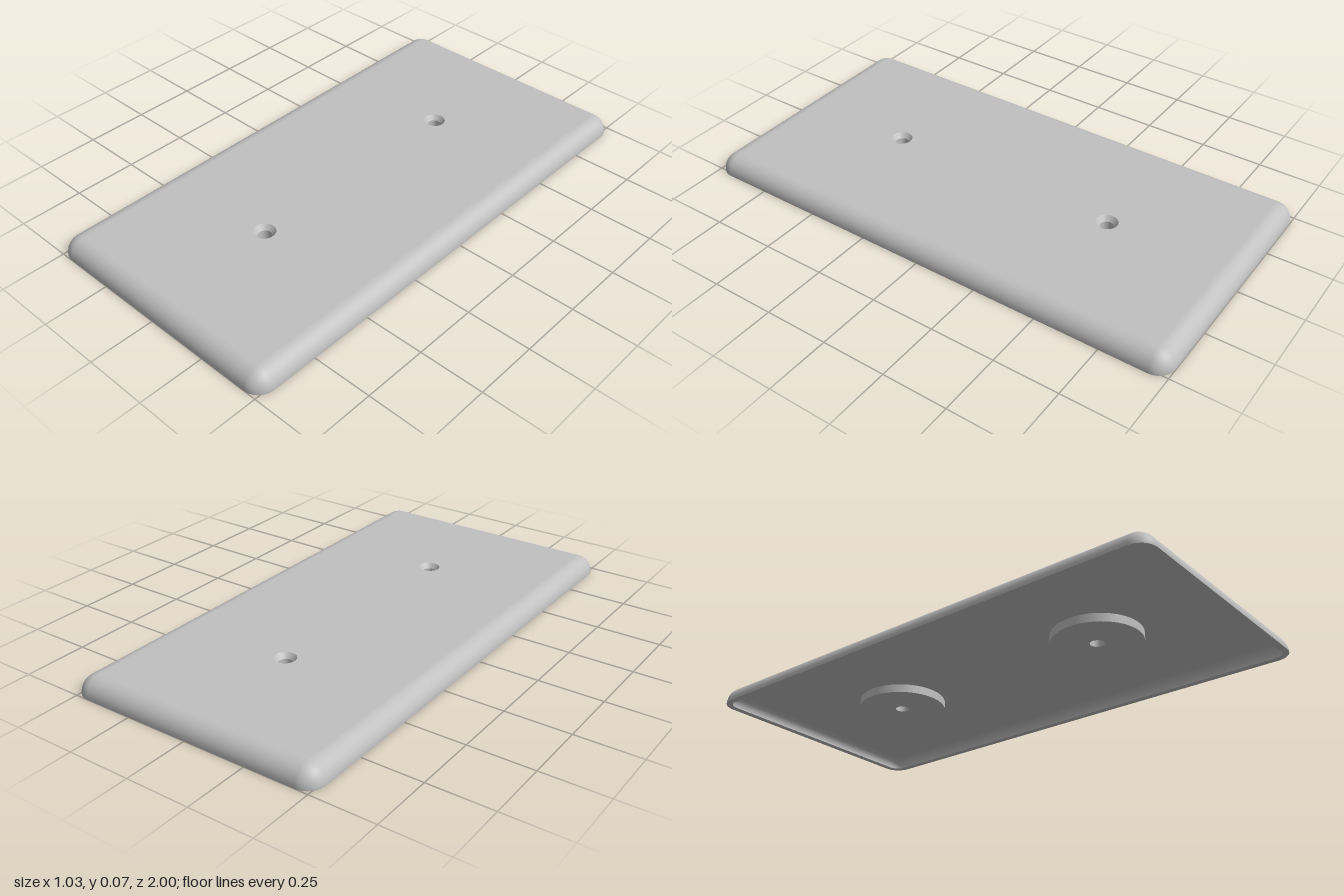
import * as THREE from 'three';

const CORE_X = 0.449, CORE_Z = 0.932;   // flat area inside the rounded edge
const R_OUT = 0.068, R_IN = 0.043, ARC_Y = 0.002;
const TOP = ARC_Y + R_OUT, CEILING = ARC_Y + R_IN;
const HOLE_Z = 0.478, HOLE_R = 0.027, SINK_R = 0.042, BOSS_R = 0.172, BOSS_Y = 0.012;

// Corner-by-corner directions around a rounded rectangle
function loopPoints(n = 10) {
  const pts = [];
  [[1, 1], [-1, 1], [-1, -1], [1, -1]].forEach(([sx, sz], q) => {
    for (let k = 0; k <= n; k++) {
      const a = (q + k / n) * Math.PI / 2;
      pts.push({ x: sx * CORE_X, z: sz * CORE_Z, c: Math.cos(a), s: Math.sin(a) });
    }
  });
  return pts;
}

// Quarter-round edge swept around the plate; inside = true faces the hollow
function edgeGeometry(radius, inside) {
  const loop = loopPoints(), n = loop.length, steps = 10;
  const pos = [], nor = [], idx = [], f = inside ? -1 : 1;
  for (let i = -1; i <= steps; i++) {
    const t = Math.max(i, 0) / steps * Math.PI / 2;
    const r = radius * Math.cos(t), y = i < 0 ? 0 : ARC_Y + radius * Math.sin(t);
    for (const p of loop) {
      pos.push(p.x + r * p.c, y, p.z + r * p.s);
      nor.push(f * p.c * Math.cos(t), f * Math.sin(t), f * p.s * Math.cos(t));
    }
  }
  for (let i = 0; i <= steps; i++) for (let j = 0; j < n; j++) {
    const a = i * n + j, b = i * n + (j + 1) % n, c = a + n, d = b + n;
    if (inside) idx.push(a, b, c, b, d, c);
    else idx.push(a, c, b, b, c, d);
  }
  const g = new THREE.BufferGeometry();
  g.setAttribute('position', new THREE.Float32BufferAttribute(pos, 3));
  g.setAttribute('normal', new THREE.Float32BufferAttribute(nor, 3));
  g.setIndex(idx);
  return g;
}

const outline = (r) => loopPoints().map(p => new THREE.Vector2(p.x + r * p.c, p.z + r * p.s));

// Flat sheet at height y, facing up or down
function sheet(shape, y, up) {
  return new THREE.ShapeGeometry(shape, 32).rotateX((up ? -1 : 1) * Math.PI / 2).translate(0, y, 0);
}

function panelWithHoles(holeR) {
  const shape = new THREE.Shape([[1, 1], [-1, 1], [-1, -1], [1, -1]]
    .map(([x, z]) => new THREE.Vector2(x * CORE_X, z * CORE_Z)));
  for (const s of [-1, 1]) {
    shape.holes.push(new THREE.Path().absarc(0, s * HOLE_Z, holeR, 0, Math.PI * 2, true));
  }
  return shape;
}

export function createModel() {
  const root = new THREE.Group();
  root.name = 'wallPlate';
  const grey = new THREE.MeshStandardMaterial({ color: 0xc0c0c0, side: THREE.DoubleSide });
  grey.name = 'lightGrey';
  const add = (name, geo, parent = root) => {
    const m = new THREE.Mesh(geo, grey);
    m.name = name;
    parent.add(m);
    return m;
  };

  // Hollow plate shell
  add('outerEdge', edgeGeometry(R_OUT, false));
  add('innerEdge', edgeGeometry(R_IN, true));
  add('topFace', sheet(panelWithHoles(SINK_R), TOP, true));
  add('underside', sheet(panelWithHoles(BOSS_R), CEILING, false));
  const rim = new THREE.Shape(outline(R_OUT));
  rim.holes.push(new THREE.Path(outline(R_IN)));
  add('rim', sheet(rim, 0, false));

  // Countersunk screw holes, each through a round boss underneath
  const sinkY = TOP - 0.02;
  const wall = (rTop, rBottom, y0, y1) =>
    new THREE.CylinderGeometry(rTop, rBottom, y1 - y0, 48, 1, true).translate(0, (y0 + y1) / 2, 0);
  const inward = (g) => g.scale(-1, 1, 1);
  for (const s of [-1, 1]) {
    const hole = new THREE.Group();
    hole.name = s > 0 ? 'frontScrewHole' : 'backScrewHole';
    hole.position.z = s * HOLE_Z;
    add('countersink', flip(wall(SINK_R, HOLE_R, sinkY, TOP)), hole);
    add('bore', flip(wall(HOLE_R, HOLE_R, BOSS_Y, sinkY)), hole);
    add('bossWall', wall(BOSS_R, BOSS_R, BOSS_Y, CEILING), hole);
    add('bossFace', new THREE.RingGeometry(HOLE_R, BOSS_R, 48).rotateX(Math.PI / 2).translate(0, BOSS_Y, 0), hole);
    root.add(hole);
  }
  return root;
}

// Turn a surface to face inward
function flip(g) {
  const ix = g.index.array, nrm = g.attributes.normal;
  for (let i = 0; i < ix.length; i += 3) [ix[i], ix[i + 1]] = [ix[i + 1], ix[i]];
  for (let i = 0; i < nrm.array.length; i++) nrm.array[i] *= -1;
  return g;
}
